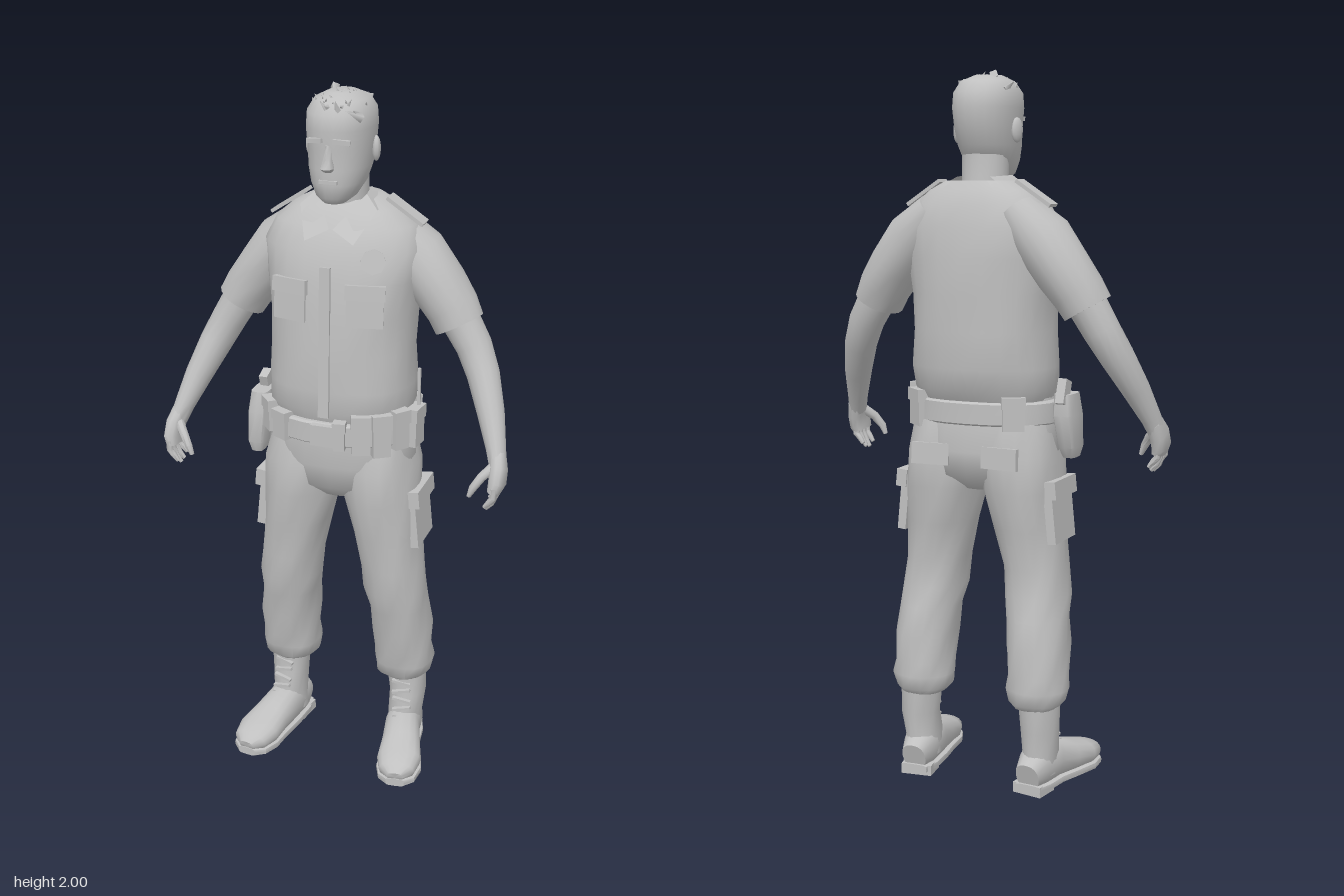
import * as THREE from 'three';
import { toCreasedNormals } from 'three/addons/utils/BufferGeometryUtils.js';

const grey = new THREE.MeshStandardMaterial({ color: 0xc0c0c0, side: THREE.DoubleSide });
grey.name = 'plain grey';

const UP = new THREE.Vector3(0, 1, 0);
// ring of a vertical loft: height, half width, front z, back z, centre x
const row = (y, rx, f, b, x = 0) => [x, y, (f + b) / 2, rx, (f - b) / 2];

// Skin over rings [x, y, z, ru, rv]; rings stay level with an axis, else follow the path
function loft(rings, { axis = null, n = 18, power = 2, wrinkle = 0, s = 1, crease = 0.9 } = {}) {
  const pts = rings.map(r => new THREE.Vector3(r[0] * s, r[1], r[2]));
  const pos = [], idx = [], last = rings.length - 1;
  const bend = c => Math.sign(c) * Math.abs(c) ** (2 / power);
  rings.forEach((r, k) => {
    const t = axis ? axis.clone()
      : pts[Math.min(k + 1, last)].clone().sub(pts[Math.max(k - 1, 0)]).normalize();
    const u = new THREE.Vector3(1, 0, 0).addScaledVector(t, -t.x).normalize();
    const v = u.clone().cross(t);
    for (let i = 0; i < n; i++) {
      const a = i / n * Math.PI * 2;
      const w = 1 + wrinkle * Math.sin(5 * a + k * 2.1);
      const p = pts[k].clone()
        .addScaledVector(u, r[3] * bend(Math.cos(a)) * w)
        .addScaledVector(v, r[4] * bend(Math.sin(a)) * w);
      pos.push(p.x, p.y, p.z);
    }
  });
  for (let k = 0; k < last; k++) for (let i = 0; i < n; i++) {
    const a = k * n + i, a2 = k * n + (i + 1) % n;
    idx.push(a, a + n, a2, a2, a + n, a2 + n);
  }
  const c = pos.length / 3;
  pos.push(...pts[0].toArray(), ...pts[last].toArray());
  for (let i = 0; i < n; i++) {
    const j = (i + 1) % n;
    idx.push(c, i, j, c + 1, last * n + j, last * n + i);
  }
  const g = new THREE.BufferGeometry();
  g.setAttribute('position', new THREE.Float32BufferAttribute(pos, 3));
  g.setIndex(idx);
  return toCreasedNormals(g, crease);
}

// Thin flat panel from four corners
function panel(p, s = 1) {
  const g = new THREE.BufferGeometry();
  g.setAttribute('position', new THREE.Float32BufferAttribute(p.flatMap(q => [q[0] * s, q[1], q[2]]), 3));
  g.setIndex(s > 0 ? [0, 1, 2, 0, 2, 3] : [0, 2, 1, 0, 3, 2]);
  g.computeVertexNormals();
  return g;
}

export function createModel() {
  const model = new THREE.Group();
  model.name = 'uniformedMan';
  const add = (name, geo) => {
    const m = new THREE.Mesh(geo, grey);
    m.name = name;
    model.add(m);
    return m;
  };
  const box = (name, size, at, rot = [0, 0, 0]) => {
    const m = add(name, new THREE.BoxGeometry(...size));
    m.position.set(...at);
    m.rotation.set(...rot);
    return m;
  };

  // Shirt body, overhanging the belt
  add('shirt', loft([
    row(1.10, .19, .125, -.145), row(1.14, .205, .142, -.17), row(1.20, .207, .145, -.185),
    row(1.30, .2, .142, -.188), row(1.40, .203, .137, -.19), row(1.50, .215, .126, -.19),
    row(1.58, .222, .108, -.182), row(1.64, .195, .08, -.168), row(1.68, .145, .05, -.15),
    row(1.705, .095, .025, -.135)
  ], { axis: UP, n: 24, power: 2.3, wrinkle: .008 }));
  box('buttonPlacket', [.03, .42, .008], [0, 1.34, .141], [-.04, 0, 0]);

  // Trouser seat and belt
  add('trouserSeat', loft([
    row(.855, .07, .06, -.09), row(.90, .17, .11, -.15), row(.97, .218, .125, -.162),
    row(1.06, .205, .13, -.15), row(1.12, .195, .125, -.14)
  ], { axis: UP, n: 24, power: 2.3 }));
  add('belt', loft([
    row(1.045, .208, .14, -.155), row(1.05, .215, .147, -.162),
    row(1.105, .213, .147, -.162), row(1.11, .206, .14, -.155)
  ], { axis: UP, n: 24, power: 2.2, crease: .6 }));
  box('buckle', [.07, .06, .02], [0, 1.078, .15]);

  // Belt pouches: angle round the waist (0 = left side, 90 = front), width, height, centre height
  [[78, .03, .08, 1.08], [62, .05, .11, 1.085], [46, .05, .12, 1.08], [28, .045, .11, 1.09],
   [4, .06, .11, 1.08], [-40, .07, .1, 1.08], [-128, .06, .09, 1.08], [128, .05, .08, 1.08],
   [148, .05, .09, 1.09]].forEach(([deg, w, h, y]) => {
    const a = deg * Math.PI / 180;
    const at = [.212 * Math.cos(a), y, -.008 + .15 * Math.sin(a)];
    const turn = Math.atan2(Math.cos(a) / .212, Math.sin(a) / .15);
    box('beltPouch', [w, h, .04], at, [0, turn, 0]);
    box('pouchFlap', [w + .006, h * .35, .048], [at[0], y + h * .35, at[2]], [0, turn, 0]);
  });
  box('radioAerial', [.008, .11, .008], [.222, 1.19, -.01]);

  // Holster with pistol grip on the right hip
  add('holster', loft([
    [-.245, .95, .015, .018, .03], [-.245, .98, .01, .026, .045],
    [-.24, 1.07, 0, .03, .055], [-.238, 1.13, -.005, .026, .045]
  ], { axis: UP, n: 12, power: 4 }));
  box('pistolGrip', [.025, .07, .04], [-.24, 1.135, -.035], [.35, 0, 0]);

  // Neck and head
  add('neck', loft([row(1.60, .072, .03, -.11), row(1.70, .064, .035, -.09), row(1.78, .066, .04, -.085)], { axis: UP }));
  add('head', loft([
    row(1.708, .03, .088, .01), row(1.725, .052, .103, -.03), row(1.76, .071, .108, -.075),
    row(1.80, .081, .108, -.1), row(1.85, .086, .106, -.117), row(1.90, .09, .112, -.125),
    row(1.94, .088, .106, -.118), row(1.97, .07, .08, -.095), row(1.987, .035, .045, -.05)
  ], { axis: UP, n: 22, power: 2.2, crease: 1.2 }));
  add('nose', loft([
    row(1.797, .012, .118, .09), row(1.808, .019, .136, .09),
    row(1.83, .012, .126, .09), row(1.865, .008, .112, .09)
  ], { axis: UP, n: 8 }));
  box('mouth', [.05, .009, .012], [0, 1.77, .105]);

  // Ruffled hair over the forehead and crown
  let seed = 7;
  const rnd = () => (seed = (seed * 16807) % 2147483647) / 2147483647;
  for (let i = 0; i < 38; i++) {
    const x = (rnd() - .5) * .15, f = rnd();
    const m = add('hairTuft', new THREE.ConeGeometry(.014, .05, 4));
    m.position.set(x, 1.945 + .035 * Math.sqrt(f) - x * x * 4, .112 - .13 * f - x * x * 5);
    m.rotation.set(.5 + rnd(), rnd() * 3, (rnd() - .5) * 1.6);
  }

  for (const s of [1, -1]) {
    const side = s > 0 ? 'left' : 'right';
    // Face sides
    const ear = add(side + 'Ear', new THREE.SphereGeometry(1, 10, 8));
    ear.scale.set(.012, .034, .021);
    ear.position.set(s * .09, 1.84, -.015);
    ear.rotation.y = s * .3;
    box(side + 'Eyebrow', [.045, .012, .014], [s * .036, 1.876, .105], [0, s * .25, -s * .1]);

    // Collar wing and shoulder strap
    add(side + 'CollarWing', panel([[.005, 1.64, .088], [.068, 1.608, .105], [.108, 1.685, .025], [.07, 1.72, .0]], s));
    add(side + 'CollarBack', panel([[.07, 1.72, 0], [.108, 1.685, .025], [.1, 1.685, -.12], [.05, 1.715, -.1]], s));
    box(side + 'ShoulderStrap', [.12, .01, .05], [s * .165, 1.672, -.055], [0, 0, -s * .58]);

    // Chest pocket
    box(side + 'ChestPocket', [.1, .1, .012], [s * .105, 1.44, .115], [-.08, s * .27, 0]);
    box(side + 'ChestPocketFlap', [.108, .04, .02], [s * .105, 1.485, .113], [-.1, s * .28, 0]);

    // Sleeve and bare arm, listed from the hand up
    add(side + 'Sleeve', loft([
      [.318, 1.368, -.06, .069, .075], [.295, 1.41, -.065, .072, .082], [.255, 1.465, -.07, .076, .09],
      [.19, 1.55, -.07, .08, .098], [.12, 1.62, -.065, .06, .09]
    ], { s, wrinkle: .015 }));
    add(side + 'Arm', loft([
      [.472, 1.03, .075, .024, .033], [.46, 1.07, .055, .028, .033], [.432, 1.15, .012, .038, .042],
      [.395, 1.24, -.035, .046, .05], [.36, 1.31, -.06, .05, .053], [.30, 1.41, -.065, .055, .058]
    ], { s, n: 14 }));

    // Hand with curled fingers and thumb
    add(side + 'Palm', loft([
      [.472, .965, .1, .018, .04], [.478, .985, .098, .022, .044],
      [.477, 1.02, .082, .023, .04], [.468, 1.055, .062, .022, .03]
    ], { s, n: 12, power: 2.6 }));
    for (let i = 0; i < 4; i++) {
      const z = .07 + i * .02, drop = [.015, .003, 0, .012][i];
      add(side + 'Finger', loft([
        [.452, .912 + drop, z - .002, .006, .006], [.466, .93 + drop, z, .009, .009],
        [.476, .955, z, .01, .01], [.476, .985, z, .011, .011]
      ], { s, n: 7 }));
    }
    add(side + 'Thumb', loft([
      [.408, .95, .128, .006, .007], [.418, .975, .128, .011, .011],
      [.438, 1.005, .115, .013, .013], [.465, 1.03, .09, .015, .016]
    ], { s, n: 8 }));

    // Trouser leg, gathered over the boot
    add(side + 'TrouserLeg', loft([
      row(.245, .062, 0, -.13, .178), row(.262, .08, .022, -.145, .178), row(.30, .088, .03, -.15, .18),
      row(.34, .082, .038, -.146, .178), row(.42, .087, .055, -.148, .176), row(.50, .084, .07, -.132, .168),
      row(.56, .09, .085, -.12, .161), row(.64, .088, .09, -.116, .153), row(.75, .096, .105, -.13, .136),
      row(.86, .108, .118, -.155, .12), row(.96, .11, .122, -.162, .112), row(1.05, .09, .1, -.14, .11)
    ], { axis: UP, s, n: 20, power: 2.2, wrinkle: .025 }));
    box(side + 'CargoPocket', [.025, .16, .14], [s * .226, .8, -.025], [0, 0, s * .1]);
    box(side + 'CargoPocketFlap', [.032, .05, .15], [s * .23, .87, -.025], [0, 0, s * .1]);
    box(side + 'BackPocket', [.11, .06, .014], [s * .105, .96, -.158], [.05, s * .1, 0]);

    // Boot: shaft, foot, sole, heel and laces
    add(side + 'BootShaft', loft([
      row(.05, .05, .0, -.125, .185), row(.11, .05, .012, -.12, .187),
      row(.18, .054, -.005, -.128, .19), row(.28, .06, 0, -.132, .185)
    ], { axis: UP, s, wrinkle: .02 }));
    const foot = [[.18, .055, -.132, .036, .04], [.183, .07, -.085, .05, .058], [.192, .075, -.01, .052, .062],
      [.21, .062, .06, .058, .048], [.224, .052, .125, .065, .037], [.232, .046, .175, .052, .029],
      [.235, .04, .198, .024, .015]];
    add(side + 'BootFoot', loft(foot, { s, power: 2.4, n: 16 }));
    add(side + 'Sole', loft(foot.map(r => [r[0], .02, r[2], r[3] + .003, .012]), { s, power: 5, n: 16, crease: .6 }));
    box(side + 'Heel', [.09, .03, .075], [s * .181, .015, -.09], [0, s * .15, 0]);
    for (let i = 0; i < 5; i++)
      box(side + 'Lace', [.055, .008, .012], [s * (.195 - i * .002), .12 + i * .028, .012 - i * .004], [0, s * .15, (i % 2 ? .2 : -.2)]);
  }

  // Badge above the left pocket
  const badge = add('badge', new THREE.CylinderGeometry(.034, .034, .012, 8));
  badge.position.set(.12, 1.565, .093);
  badge.rotation.set(Math.PI / 2 - .25, 0, -.3);
  return model;
}
